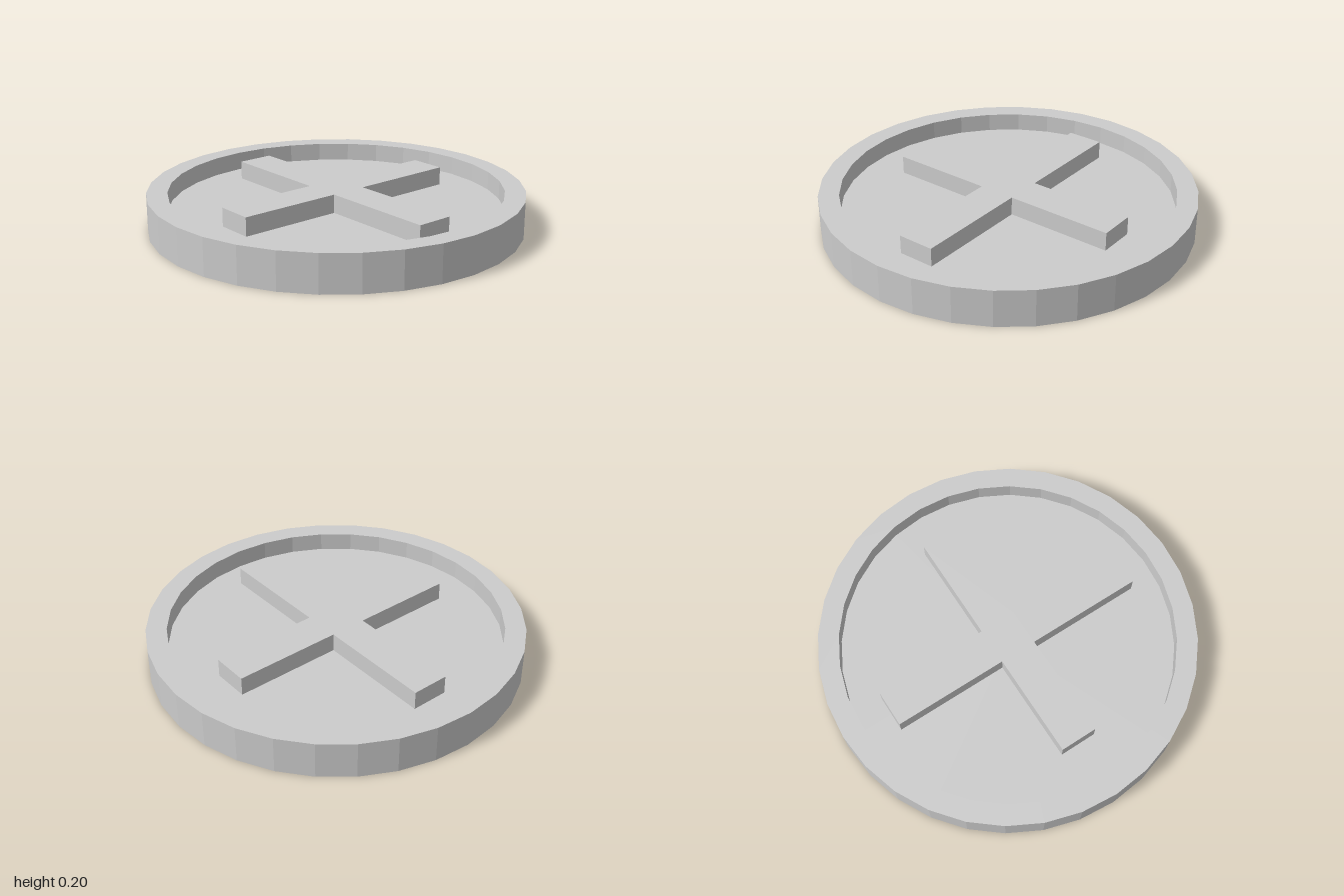
import * as THREE from 'three';

export function createModel() {
  const group = new THREE.Group();
  const material = new THREE.MeshStandardMaterial({ color: 0xcccccc, flatShading: true });
  const add = (name, geometry) => {
    const mesh = new THREE.Mesh(geometry, material);
    mesh.name = name;
    group.add(mesh);
    return mesh;
  };

  const height = 0.2, floor = 0.1, rim = 0.89;

  // Round dish: base, outer wall, raised rim and recessed floor
  const profile = [[0, 0], [1, 0], [1, height], [rim, height], [rim, floor], [0, floor]];
  add('dish', new THREE.LatheGeometry(profile.map(([r, y]) => new THREE.Vector2(r, y)), 32));

  // Raised cross, flush with the rim (shape y becomes -z)
  const w = 0.1, left = -0.725, right = 0.735, front = -0.665, back = 0.685;
  const outline = [
    [-w, front], [w, front], [w, -w], [right, -w], [right, w], [w, w],
    [w, back], [-w, back], [-w, w], [left, w], [left, -w], [-w, -w],
  ];
  const shape = new THREE.Shape(outline.map(([x, y]) => new THREE.Vector2(x, y)));
  const cross = new THREE.ExtrudeGeometry(shape, { depth: height - floor, bevelEnabled: false });
  cross.rotateX(-Math.PI / 2);
  add('raisedCross', cross).position.y = floor;

  return group;
}
